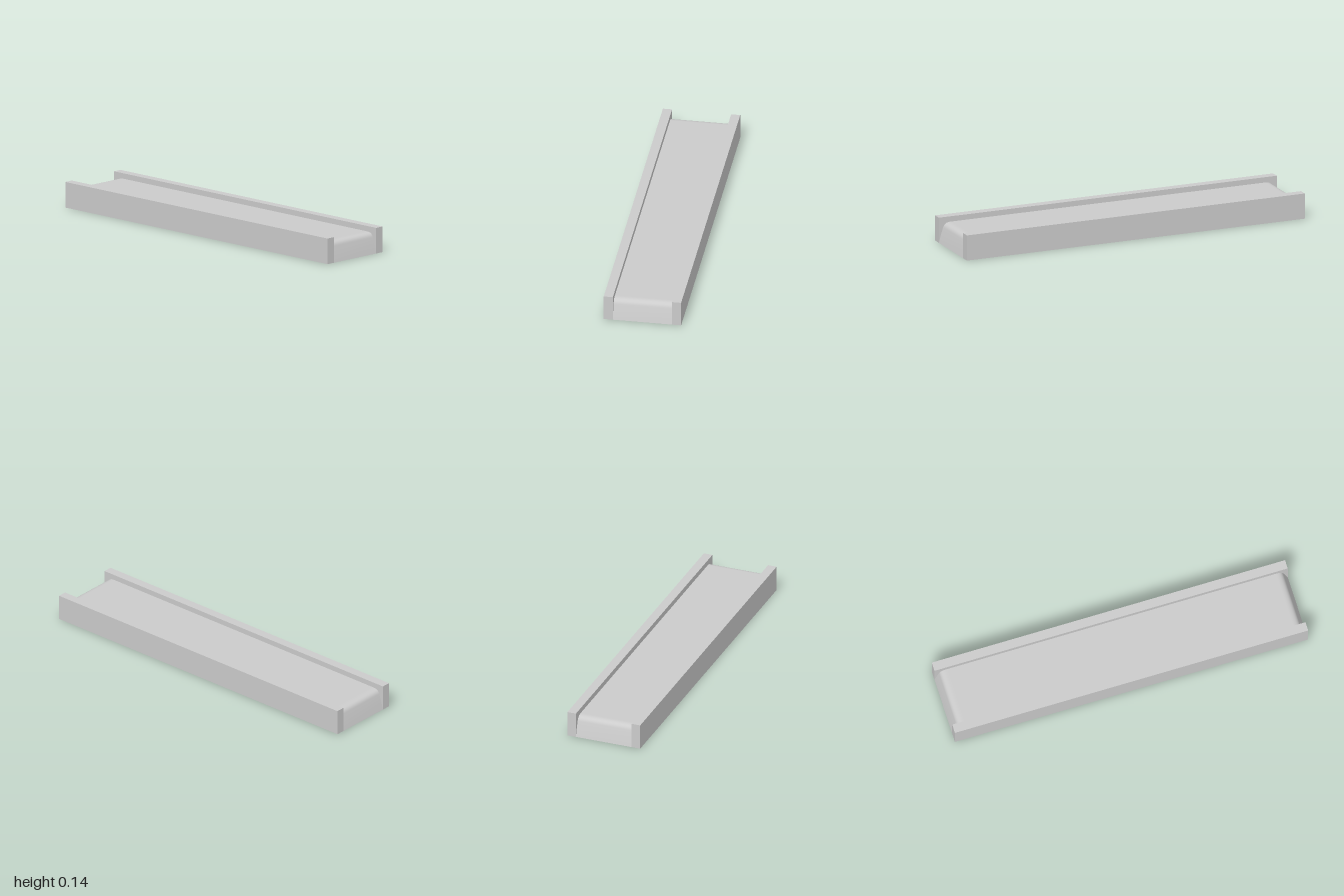
import * as THREE from 'three';

const LENGTH = 2;
const RAIL_W = 0.05, RAIL_H = 0.142, RAIL_X = 0.187;
const BED_W = 0.324, BED_H = 0.112;

const material = new THREE.MeshStandardMaterial({ color: 0xcccccc });
const sheetMaterial = new THREE.MeshStandardMaterial({ color: 0xcccccc, side: THREE.DoubleSide });

// Half of the bed's side profile as (z, y): flat top, rounded bend, slightly flared lip
function endProfile() {
  const bend = new THREE.CubicBezierCurve(
    new THREE.Vector2(0.93, BED_H),
    new THREE.Vector2(0.955, BED_H),
    new THREE.Vector2(0.969, 0.104),
    new THREE.Vector2(0.975, 0.084)
  );
  return [...bend.getPoints(10), new THREE.Vector2(0.988, 0.045), new THREE.Vector2(1, 0)];
}

// Thin sheet swept across x, running from the back lip to the front lip
function bedGeometry() {
  const front = endProfile();
  const back = front.map(p => new THREE.Vector2(-p.x, p.y)).reverse();
  const profile = [...back, ...front];
  const geometry = new THREE.PlaneGeometry(BED_W, 1, 1, profile.length - 1);
  const pos = geometry.attributes.position;
  for (let i = 0; i < pos.count; i++) {
    const p = profile[Math.floor(i / 2)];
    pos.setXYZ(i, pos.getX(i), p.y, p.x);
  }
  geometry.computeVertexNormals();
  return geometry;
}

export function createModel() {
  const model = new THREE.Group();
  model.name = 'railedBed';

  // Side rails
  for (const [name, side] of [['leftRail', 1], ['rightRail', -1]]) {
    const rail = new THREE.Mesh(new THREE.BoxGeometry(RAIL_W, RAIL_H, LENGTH), material);
    rail.name = name;
    rail.position.set(side * RAIL_X, RAIL_H / 2, 0);
    model.add(rail);
  }

  // Bed sheet between the rails, open underneath
  const bed = new THREE.Mesh(bedGeometry(), sheetMaterial);
  bed.name = 'bed';
  model.add(bed);

  return model;
}
